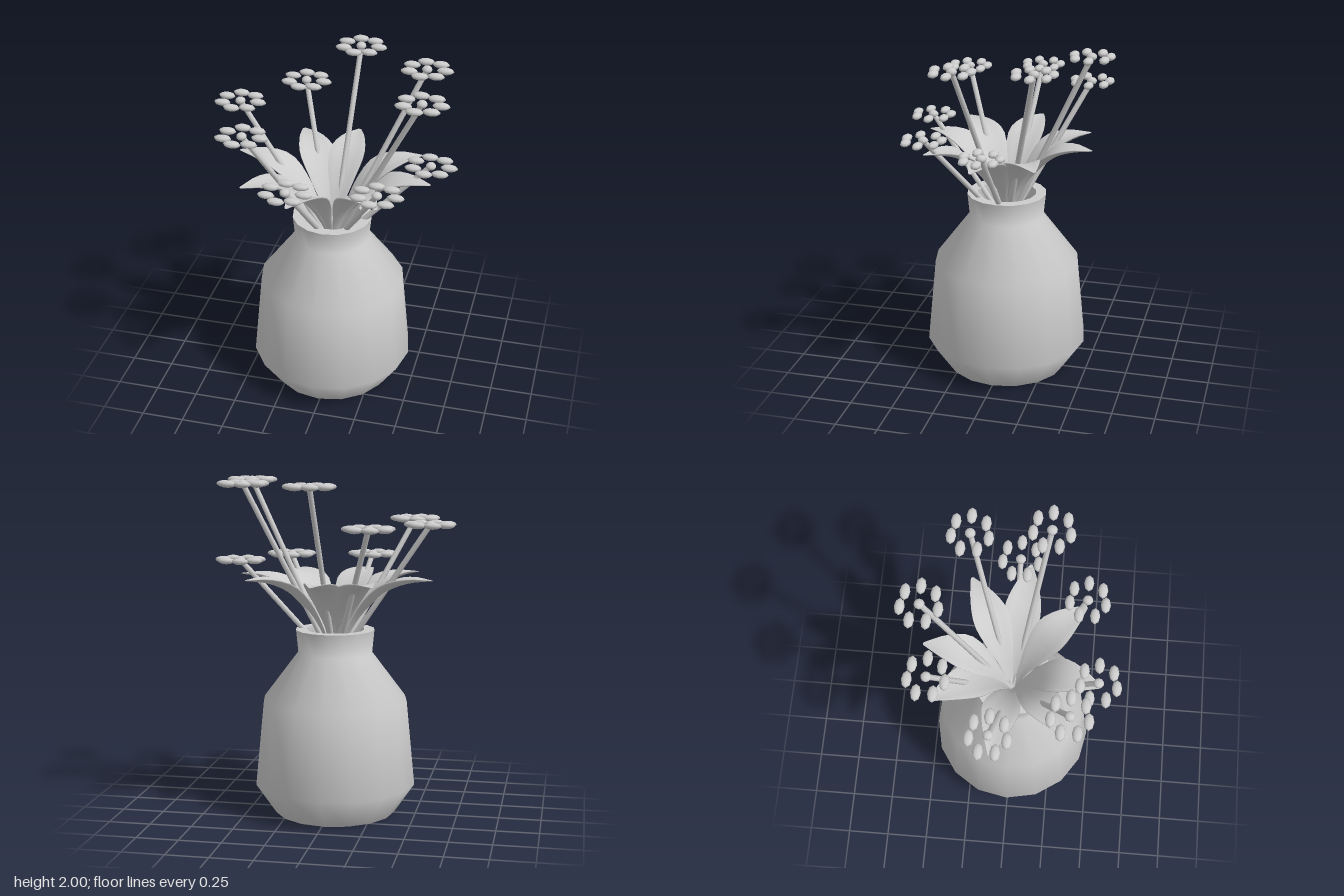
import * as THREE from 'three';
import { mergeVertices } from 'three/addons/utils/BufferGeometryUtils.js';

const clay = new THREE.MeshStandardMaterial({ color: 0xcccccc });
clay.name = 'pale grey clay';

function part(name, geometry, parent) {
  const mesh = new THREE.Mesh(geometry, clay);
  mesh.name = name;
  parent.add(mesh);
  return mesh;
}

// Leaf: a tube squashed to a lens section and bent along a rising curve (reach, height, half width)
function leafGeometry(length) {
  const spine = new THREE.CatmullRomCurve3([
    [0, 0.9, 0.008], [0.1, 1.12, 0.04], [0.2, 1.26, 0.085],
    [0.32, 1.365, 0.112], [0.45, 1.41, 0.075], [0.59, 1.42, 0.008],
  ].map((p) => new THREE.Vector3(...p)));
  const geo = new THREE.CylinderGeometry(1, 1, 1, 10, 14);
  const pos = geo.attributes.position;
  for (let i = 0; i < pos.count; i++) {
    const side = pos.getX(i), t = pos.getY(i) + 0.5, thick = pos.getZ(i);
    const c = spine.getPoint(t), d = spine.getTangent(t);
    const n = new THREE.Vector2(-d.y, d.x).normalize();
    const lift = c.z * (0.13 * thick + 0.28 * side * side);
    pos.setXYZ(i, (c.x + n.x * lift) * length / 0.59, c.y + n.y * lift, side * c.z);
  }
  geo.deleteAttribute('uv');
  geo.deleteAttribute('normal');
  const smooth = mergeVertices(geo);
  smooth.computeVertexNormals();
  return smooth;
}

export function createModel() {
  const model = new THREE.Group();
  model.name = 'vaseOfFlowers';
  const bouquet = new THREE.Group();
  bouquet.name = 'bouquet';
  bouquet.position.x = -0.01;
  model.add(bouquet);

  // Hollow vase; repeated points keep the foot and rim edges crisp
  const profile = [
    [0, 0], [0.36, 0], [0.36, 0], [0.4825, 0.18], [0.432, 0.69], [0.222, 0.97],
    [0.236, 1.11], [0.236, 1.11], [0.175, 1.11], [0.175, 1.11], [0.165, 0.97],
    [0.37, 0.68], [0.42, 0.18], [0.32, 0.05], [0, 0.05],
  ].map((p) => new THREE.Vector2(...p));
  const vase = part('vase', new THREE.LatheGeometry(profile, 16), model);
  vase.position.x = -0.01;

  // Leaves: direction in degrees from +x towards +z, and reach
  const leaves = [
    [6, 0.59], [49, 0.53], [105, 0.525], [142, 0.57],
    [188, 0.59], [237, 0.53], [275, 0.515], [330, 0.55],
  ];
  for (const [angle, length] of leaves) {
    part('leaf', leafGeometry(length), bouquet).rotation.y = -THREE.MathUtils.degToRad(angle);
  }

  // Flowers: head centres in three tiers
  const heads = [
    [0.04, 1.977, -0.5], [0.475, 1.977, -0.27], [0.53, 1.977, 0.17],
    [-0.58, 1.745, -0.085], [-0.44, 1.745, 0.34], [-0.28, 1.745, -0.445],
    [-0.155, 1.51, 0.49], [0.34, 1.51, 0.4], [0.565, 1.51, 0],
  ];
  const petalGeo = new THREE.SphereGeometry(1, 8, 6).scale(0.05, 0.02, 0.029);
  const heartGeo = new THREE.SphereGeometry(0.03, 10, 8).scale(1, 0.75, 1);
  const root = new THREE.Vector3(-0.01, 0.9, 0);
  for (const h of heads) {
    const flower = new THREE.Group();
    flower.name = 'flower';
    model.add(flower);
    const top = new THREE.Vector3(...h);
    const along = top.clone().sub(root);
    const stem = part('stem', new THREE.CylinderGeometry(0.016, 0.016, along.length(), 8), flower);
    stem.position.copy(root).addScaledVector(along, 0.5);
    stem.quaternion.setFromUnitVectors(new THREE.Vector3(0, 1, 0), along.clone().normalize());
    part('flowerCentre', heartGeo, flower).position.copy(top);
    for (let i = 0; i < 7; i++) {
      const a = (i / 7) * Math.PI * 2;
      part('petal', petalGeo, flower).position.set(
        top.x + 0.105 * Math.cos(a), top.y, top.z + 0.105 * Math.sin(a));
    }
  }
  return model;
}
